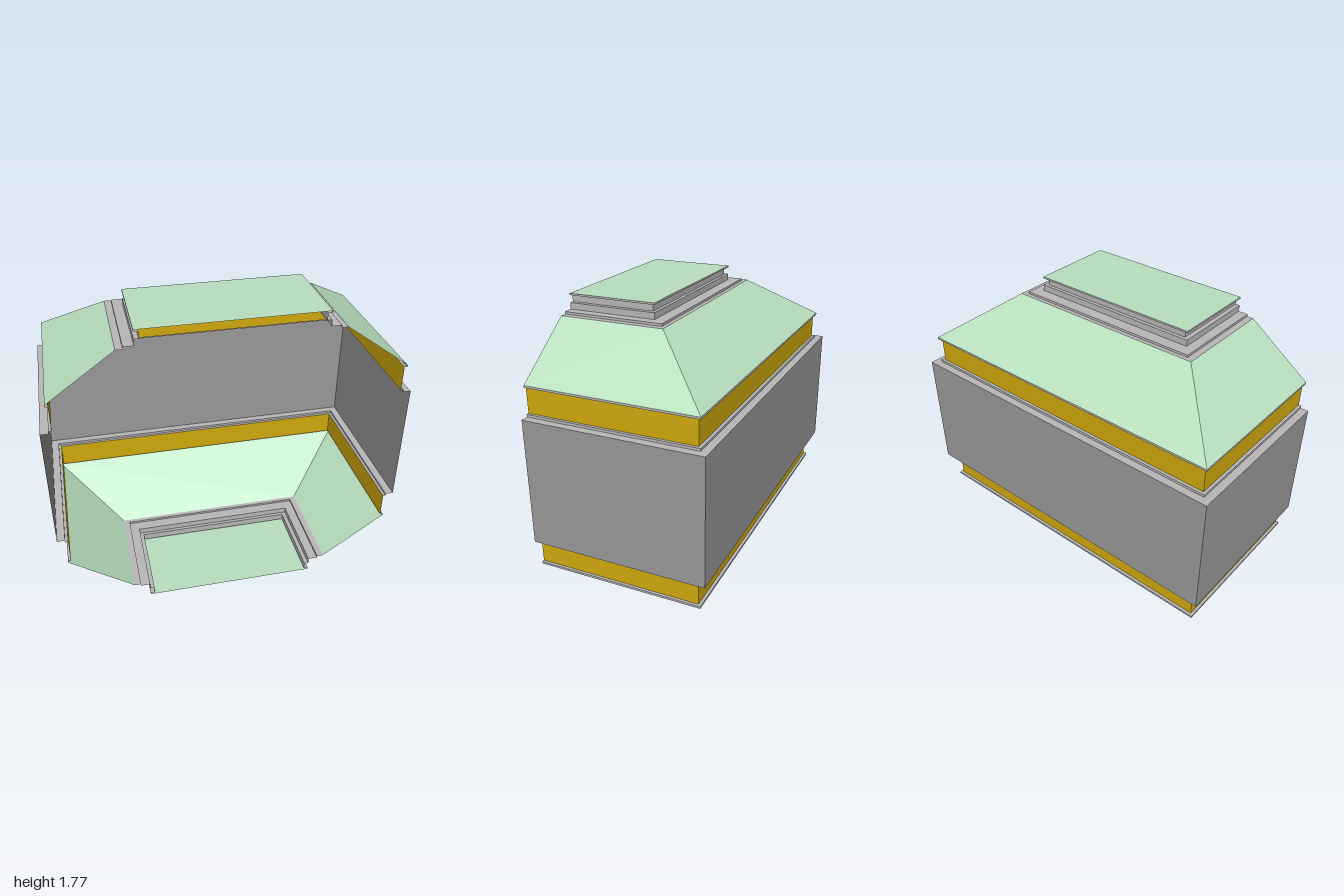
import * as THREE from 'three';

const FRONT = 0.5;     // open front plane
const HEIGHT = 1.775;

const material = (color) =>
  new THREE.MeshStandardMaterial({ color, side: THREE.DoubleSide, flatShading: true });

// Three-sided open shell (left, back, right) swept through profile points
// [half width, back z, y], listed from bottom to top.
function shell(name, profile, mat) {
  const pos = [];
  const ring = ([w, z, y]) => [[w, y, FRONT], [w, y, z], [-w, y, z], [-w, y, FRONT]];
  for (let i = 0; i < profile.length - 1; i++) {
    const lo = ring(profile[i]), hi = ring(profile[i + 1]);
    for (let s = 0; s < 3; s++) {
      pos.push(...lo[s], ...lo[s + 1], ...hi[s + 1], ...lo[s], ...hi[s + 1], ...hi[s]);
    }
  }
  const geo = new THREE.BufferGeometry();
  geo.setAttribute('position', new THREE.Float32BufferAttribute(pos, 3));
  geo.computeVertexNormals();
  const mesh = new THREE.Mesh(geo, mat);
  mesh.name = name;
  return mesh;
}

// Flat end panel, facing up or down
function cap(name, y, up, mat) {
  const geo = new THREE.PlaneGeometry(1, 0.5);
  geo.rotateX(up ? -Math.PI / 2 : Math.PI / 2);
  const mesh = new THREE.Mesh(geo, mat);
  mesh.name = name;
  mesh.position.set(0, y, 0.25);
  return mesh;
}

export function createModel() {
  const model = new THREE.Group();
  const green = material(0xb8dfbe);
  const gold = material(0xd0a90c);
  const wallGrey = material(0x999999);
  const trimGrey = material(0xb9b7b7);

  // Bottom half of the profile; the top half mirrors it
  const parts = [
    ['SteppedTrim', trimGrey, [
      [0.5, 0, 0], [0.5, 0, 0.01], [0.475, 0.02, 0.01], [0.475, 0.02, 0.05],
      [0.5, 0, 0.05], [0.5, 0, 0.085], [0.555, -0.068, 0.085],
      [0.555, -0.068, 0.098], [0.592, -0.092, 0.098]]],
    ['SlopedPanels', green, [[0.592, -0.092, 0.098], [0.956, -0.457, 0.36]]],
    ['OuterLip', trimGrey, [
      [0.956, -0.457, 0.36], [0.956, -0.457, 0.372], [0.94, -0.44, 0.372]]],
    ['GoldBand', gold, [[0.94, -0.44, 0.372], [0.94, -0.44, 0.515]]],
    ['InnerLip', trimGrey, [
      [0.94, -0.44, 0.515], [0.956, -0.457, 0.515],
      [0.956, -0.457, 0.529], [1, -0.5, 0.529]]],
  ];

  for (const [name, mat, profile] of parts) {
    const mirrored = profile.map(([w, z, y]) => [w, z, HEIGHT - y]).reverse();
    model.add(shell('lower' + name, profile, mat));
    model.add(shell('upper' + name, mirrored, mat));
  }

  // Main vertical wall
  model.add(shell('mainWall', [[1, -0.5, 0.529], [1, -0.5, HEIGHT - 0.529]], wallGrey));

  // Floor and ceiling panels
  model.add(cap('floorPanel', 0, false, green));
  model.add(cap('ceilingPanel', HEIGHT, true, green));
  return model;
}
